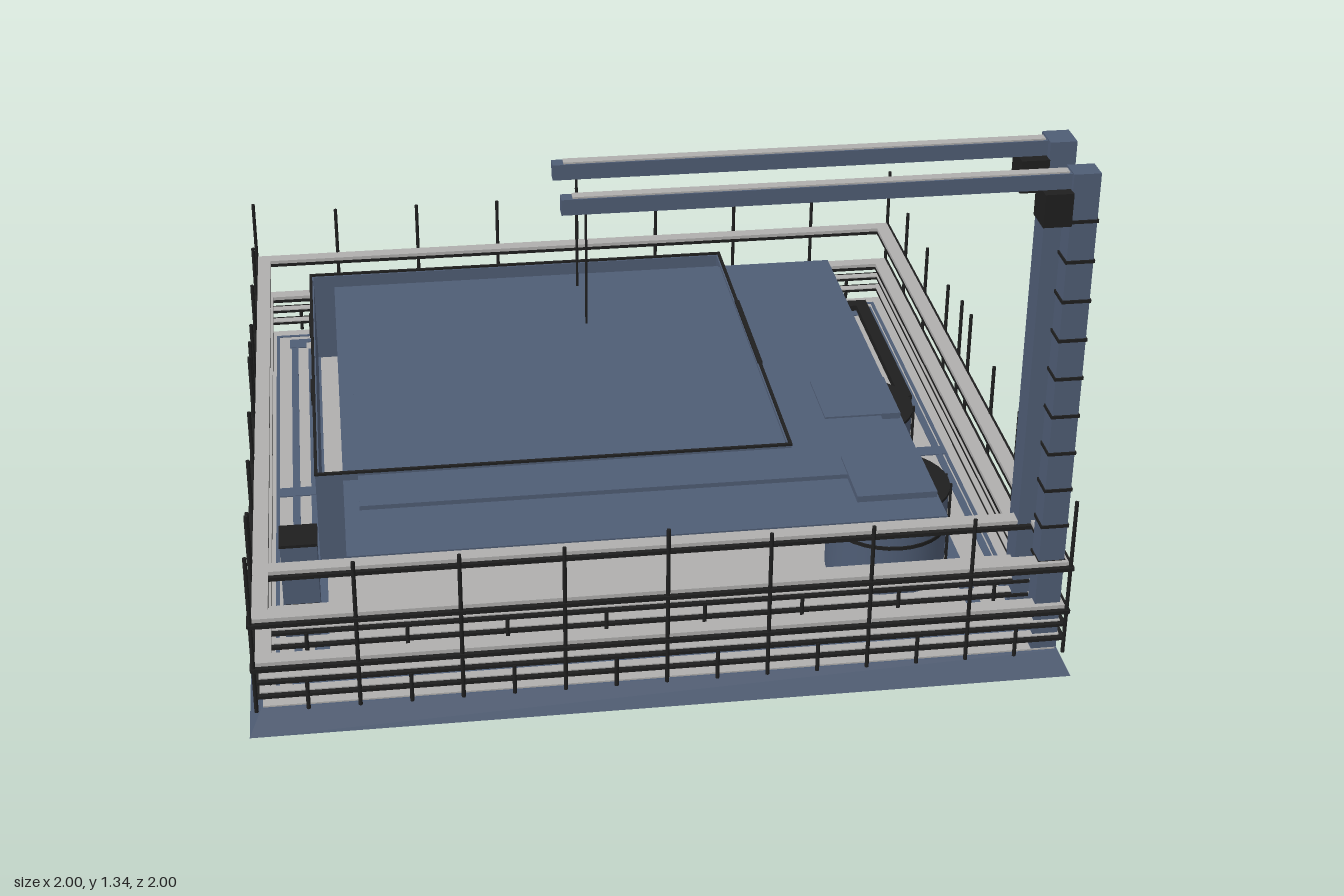
import * as THREE from 'three';

const mat = (name, color) => {
  const m = new THREE.MeshStandardMaterial({ color });
  m.name = name;
  return m;
};

export function createModel() {
  const blue = mat('slate blue', 0x4f5d75);
  const grey = mat('light grey', 0xb0afae);
  const dark = mat('charcoal', 0x1f1f1f);
  const root = new THREE.Group();
  root.name = 'landingPlatform';

  const group = (name) => {
    const g = new THREE.Group();
    g.name = name;
    root.add(g);
    return g;
  };
  // Box given by its minimum and maximum on each axis
  const box = (parent, name, m, x0, x1, y0, y1, z0, z1) => {
    const mesh = new THREE.Mesh(new THREE.BoxGeometry(x1 - x0, y1 - y0, z1 - z0), m);
    mesh.position.set((x0 + x1) / 2, (y0 + y1) / 2, (z0 + z1) / 2);
    mesh.name = name;
    parent.add(mesh);
  };
  const cyl = (parent, name, m, r, y0, y1, x, z, sides = 32) => {
    const mesh = new THREE.Mesh(new THREE.CylinderGeometry(r, r, y1 - y0, sides), m);
    mesh.position.set(x, (y0 + y1) / 2, z);
    mesh.name = name;
    parent.add(mesh);
  };
  // Rectangular ring of four bars or walls
  const ring = (parent, name, m, x0, x1, z0, z1, w, y0, y1) => {
    box(parent, name, m, x0, x1, y0, y1, z0, z0 + w);
    box(parent, name, m, x0, x1, y0, y1, z1 - w, z1);
    box(parent, name, m, x0, x0 + w, y0, y1, z0 + w, z1 - w);
    box(parent, name, m, x1 - w, x1, y0, y1, z0 + w, z1 - w);
  };

  // Sloped base and deck
  const base = group('base');
  const slab = new THREE.CylinderGeometry(0.97 * Math.SQRT2, Math.SQRT2, 0.06, 4, 1).toNonIndexed();
  slab.rotateY(Math.PI / 4);
  slab.computeVertexNormals();
  const slabMesh = new THREE.Mesh(slab, blue);
  slabMesh.position.y = 0.03;
  slabMesh.name = 'baseSlab';
  base.add(slabMesh);
  box(base, 'deck', grey, -0.965, 0.965, 0.058, 0.064, -0.965, 0.965);

  // Painted deck lines
  ring(base, 'deckLine', blue, -0.935, 0.935, -0.93, 0.93, 0.01, 0.062, 0.066);
  ring(base, 'deckLine', blue, -0.89, 0.92, -0.9, 0.89, 0.02, 0.062, 0.066);
  ring(base, 'deckLine', blue, -0.84, 0.835, -0.835, 0.835, 0.037, 0.062, 0.066);
  for (const s of [-1, 1]) {
    box(base, 'deckCrossLine', blue, -0.022, 0.022, 0.062, 0.067, s * 0.865 - 0.065, s * 0.865 + 0.065);
    box(base, 'deckCrossLine', blue, s * 0.865 - 0.065, s * 0.865 + 0.065, 0.062, 0.067, -0.022, 0.022);
    for (const t of [-1, 1])
      box(base, 'deckCornerPad', blue, s * 0.87 - 0.025, s * 0.87 + 0.025, 0.062, 0.067, t * 0.87 - 0.025, t * 0.87 + 0.025);
  }

  // Nested pipe frames at the back corner
  const pipes = group('pipeFrames');
  ring(pipes, 'pipeFrame', dark, 0.28, 0.905, -0.91, -0.285, 0.036, 0.064, 0.085);
  ring(pipes, 'pipeFrame', dark, 0.352, 0.835, -0.838, -0.355, 0.036, 0.064, 0.085);
  ring(pipes, 'pipeFrame', dark, 0.422, 0.765, -0.768, -0.425, 0.036, 0.064, 0.085);

  // Main building: thin walls, open around the stepped roof plate
  const hall = group('building');
  ring(hall, 'wall', blue, -0.82, 0.413, -0.787, 0.373, 0.01, 0.06, 0.334);
  ring(hall, 'wallTrim', dark, -0.822, 0.415, -0.789, 0.375, 0.008, 0.334, 0.34);
  box(hall, 'roof', blue, -0.75, 0.74, 0.3, 0.315, -0.742, 0.73);
  box(hall, 'roofPanel', blue, -0.712, 0.682, 0.315, 0.327, -0.712, 0.522);
  for (let i = 0; i < 5; i++) {
    const x = -0.645 + i * 0.219;
    box(hall, 'frontWindow', dark, x - 0.058, x + 0.058, 0.24, 0.28, 0.373, 0.378);
    box(hall, 'backWindow', dark, x - 0.058, x + 0.058, 0.24, 0.28, -0.793, -0.787);
  }
  for (const z of [-0.61, -0.205])
    box(hall, 'sideWindow', dark, -0.828, -0.82, 0.24, 0.28, z - 0.04, z + 0.04);

  // Side door and vents
  box(hall, 'sideDoor', dark, 0.413, 0.42, 0.06, 0.3, -0.42, -0.01);
  box(hall, 'doorHeader', dark, 0.405, 0.418, 0.3, 0.341, -0.46, -0.08);
  for (const y of [0.2, 0.225, 0.25])
    box(hall, 'doorSlat', blue, 0.42, 0.425, y, y + 0.008, -0.24, -0.16);
  for (const y of [0.2, 0.237])
    box(hall, 'vent', dark, 0.413, 0.419, y, y + 0.008, -0.645, -0.565);

  // Storage tanks with ladders
  const tanks = group('tanks');
  for (const z of [0.135, 0.54]) {
    cyl(tanks, 'tankBody', blue, 0.154, 0.06, 0.3, 0.633, z);
    cyl(tanks, 'tankLid', dark, 0.157, 0.3, 0.308, 0.633, z);
    cyl(tanks, 'tankBand', dark, 0.157, 0.2, 0.21, 0.633, z);
    box(tanks, 'tankPipe', dark, 0.41, 0.5, 0.21, 0.25, z - 0.02, z + 0.02);
    box(tanks, 'tankHatch', blue, 0.53, 0.735, 0.315, 0.332, z - 0.1, z + 0.1);
    for (const s of [-1, 1])
      box(tanks, 'ladderRail', dark, 0.788, 0.794, 0.064, 0.305, z + s * 0.024 - 0.003, z + s * 0.024 + 0.003);
    for (let y = 0.09; y < 0.3; y += 0.035)
      box(tanks, 'ladderRung', dark, 0.788, 0.793, y, y + 0.006, z - 0.024, z + 0.024);
  }

  // Service column beside the building
  const column = group('serviceColumn');
  box(column, 'columnBody', blue, -0.91, -0.82, 0.06, 0.325, 0.6, 0.69);
  box(column, 'columnCap', dark, -0.912, -0.818, 0.325, 0.333, 0.598, 0.692);
  for (const y of [0.152, 0.262])
    box(column, 'columnSlot', dark, -0.905, -0.825, y, y + 0.01, 0.69, 0.696);

  // One run of railing along x: dark rails with light treads
  const railRun = (parent, withPosts) => {
    for (const y of [0.185, 0.308]) {
      box(parent, 'railBody', dark, -0.985, 0.985, y - 0.01, y, -0.024, 0.026);
      box(parent, 'railTread', grey, -0.976, 0.976, y, y + 0.01, -0.024, 0.014);
    }
    for (const y of [0.1, 0.14]) {
      box(parent, 'lowerRail', dark, -0.98, 0.98, y - 0.004, y + 0.004, -0.016, 0.02);
      box(parent, 'lowerTread', grey, -0.97, 0.97, y + 0.004, y + 0.007, -0.016, 0.008);
    }
    for (let i = -8; i <= 8; i++) {
      const top = i % 2 ? 0.14 : i % 8 ? 0.46 : 0.49;
      if (withPosts || i % 2) cyl(parent, 'railPost', dark, 0.005, 0.06, top, i * 0.1225, 0.018, 8);
    }
  };
  // Perimeter railing on four sides, plus an inner run in front of the roof
  for (let k = 0; k < 4; k++) {
    const side = group('railingSide');
    const a = (k * Math.PI) / 2;
    railRun(side, true);
    side.position.set(0.962 * Math.sin(a), 0, 0.962 * Math.cos(a));
    side.rotation.y = a;
  }
  const inner = group('innerRailing');
  railRun(inner, false);
  inner.position.z = 0.765;
  for (const s of [-1, 1])
    for (const z of [0.79, -0.095])
      cyl(root, 'tallPost', dark, 0.005, 0.06, 0.485, s * 0.98, z, 8);

  // Two crane masts with long jibs
  [0.745, 0.935].forEach((z, i) => {
    const crane = group('crane');
    const h = i ? 0.028 : 0.035;
    box(crane, 'mast', blue, 0.905, 0.968, 0.06, 1.335, z - h, z + h);
    box(crane, 'jib', blue, -0.24, 0.91, 1.295, 1.332, z - 0.016, z + 0.016);
    box(crane, 'jibTop', grey, -0.215, 0.9, 1.331, 1.336, z - 0.012, z + 0.012);
    box(crane, 'winch', dark, 0.84, 0.906, 1.212, 1.293, z - 0.038, z + 0.038);
    cyl(crane, 'cable', dark, 0.003, 1.02, 1.3, -0.185, z, 6);
    if (i)
      for (let y = 0.31; y < 1.3; y += 0.1005)
        box(crane, 'mastBand', dark, 0.902, 0.971, y, y + 0.008, z - h - 0.003, z + h + 0.003);
  });

  return root;
}
